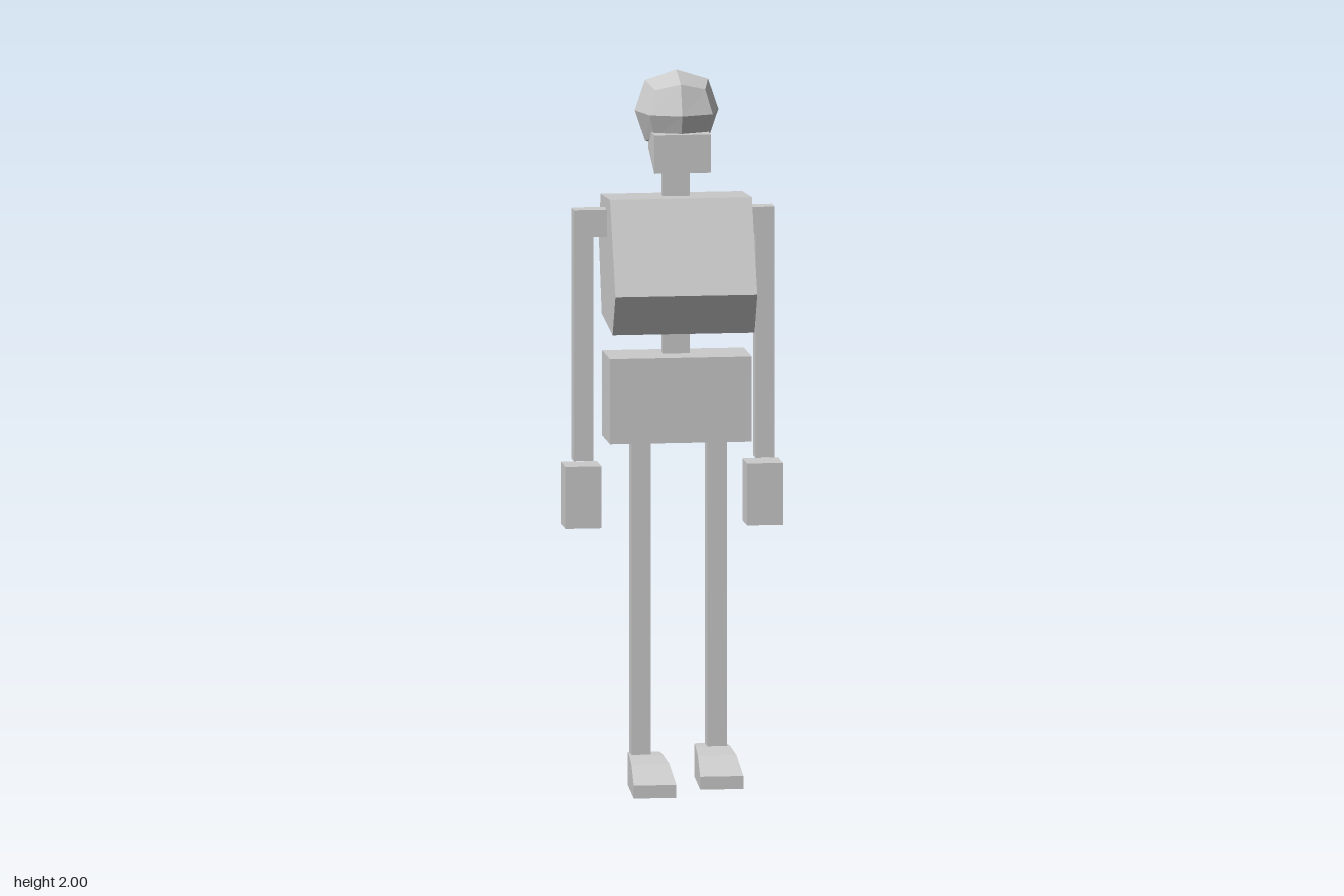
import * as THREE from 'three';

const material = new THREE.MeshStandardMaterial({ color: 0xcccccc, flatShading: true });

export function createModel() {
  const model = new THREE.Group();

  const add = (name, geometry) => {
    const mesh = new THREE.Mesh(geometry, material);
    mesh.name = name;
    model.add(mesh);
    return mesh;
  };

  // Box given by its limits on each axis
  const block = (name, [x0, x1], [y0, y1], [z0, z1]) =>
    add(name, new THREE.BoxGeometry(x1 - x0, y1 - y0, z1 - z0)
      .translate((x0 + x1) / 2, (y0 + y1) / 2, (z0 + z1) / 2));

  // Side profile of (z, y) points, extruded across x
  const slab = (profile, [x0, x1]) => {
    const shape = new THREE.Shape(profile.map(([z, y]) => new THREE.Vector2(z, y)));
    return new THREE.ExtrudeGeometry(shape, { depth: x1 - x0, bevelEnabled: false })
      .rotateY(-Math.PI / 2).translate(x1, 0, 0);
  };

  // Skull: a subdivided cube with its edges and corners pulled in
  const skull = new THREE.BoxGeometry(2, 2, 2, 2, 2, 2);
  const pull = [0, 1, 0.755, 0.6];
  const p = skull.attributes.position;
  for (let i = 0; i < p.count; i++) {
    const v = new THREE.Vector3().fromBufferAttribute(p, i);
    const outer = v.toArray().filter((c) => Math.abs(c) > 0.5).length;
    v.multiplyScalar(pull[outer]);
    p.setXYZ(i, v.x, v.y, v.z);
  }
  skull.scale(0.117, 0.112, 0.135).translate(0.012, 1.888, -0.043);
  add('skull', skull);

  // Jaw, rising towards the back
  add('jaw', slab([[0.092, 1.73], [0.092, 1.837], [-0.02, 1.837], [-0.04, 1.785]], [-0.068, 0.091]));

  // Spine and trunk
  block('spine', [-0.026, 0.049], [1.15, 1.82], [-0.086, -0.036]);
  add('chest', slab([
    [0.05, 1.653], [-0.155, 1.64], [-0.19, 1.508],
    [-0.131, 1.31], [0.106, 1.283], [0.167, 1.398],
  ], [-0.185, 0.21]));
  block('pelvis', [-0.185, 0.21], [0.97, 1.208], [-0.122, 0.048]);

  // Arms
  block('rightShoulder', [-0.223, -0.18], [1.54, 1.616], [-0.069, -0.015]);
  block('leftShoulder', [0.205, 0.228], [1.54, 1.616], [-0.069, -0.015]);
  block('rightArm', [-0.277, -0.223], [0.915, 1.616], [-0.069, -0.015]);
  block('leftArm', [0.228, 0.282], [0.915, 1.616], [-0.069, -0.015]);
  block('rightHand', [-0.303, -0.203], [0.73, 0.903], [-0.092, 0.008]);
  block('leftHand', [0.202, 0.302], [0.73, 0.903], [-0.092, 0.008]);

  // Legs
  block('rightLeg', [-0.117, -0.064], [0.06, 0.98], [-0.067, -0.013]);
  block('leftLeg', [0.095, 0.149], [0.07, 0.98], [-0.067, -0.013]);

  // Feet: low wedges that widen towards the toes
  const footProfile = [[0.187, 0], [0.187, 0.036], [0.085, 0.08], [-0.005, 0.092], [-0.066, 0.092], [-0.066, 0]];
  for (const [name, x, y, z] of [['rightFoot', -0.077, 0, 0], ['leftFoot', 0.11, 0.02, -0.008]]) {
    const foot = slab(footProfile, [-1, 1]);
    const fp = foot.attributes.position;
    for (let i = 0; i < fp.count; i++) {
      const t = (fp.getZ(i) + 0.066) / 0.253;
      fp.setX(i, fp.getX(i) * THREE.MathUtils.lerp(0.044, 0.06, t));
    }
    foot.computeVertexNormals();
    add(name, foot).position.set(x, y, z);
  }

  return model;
}
